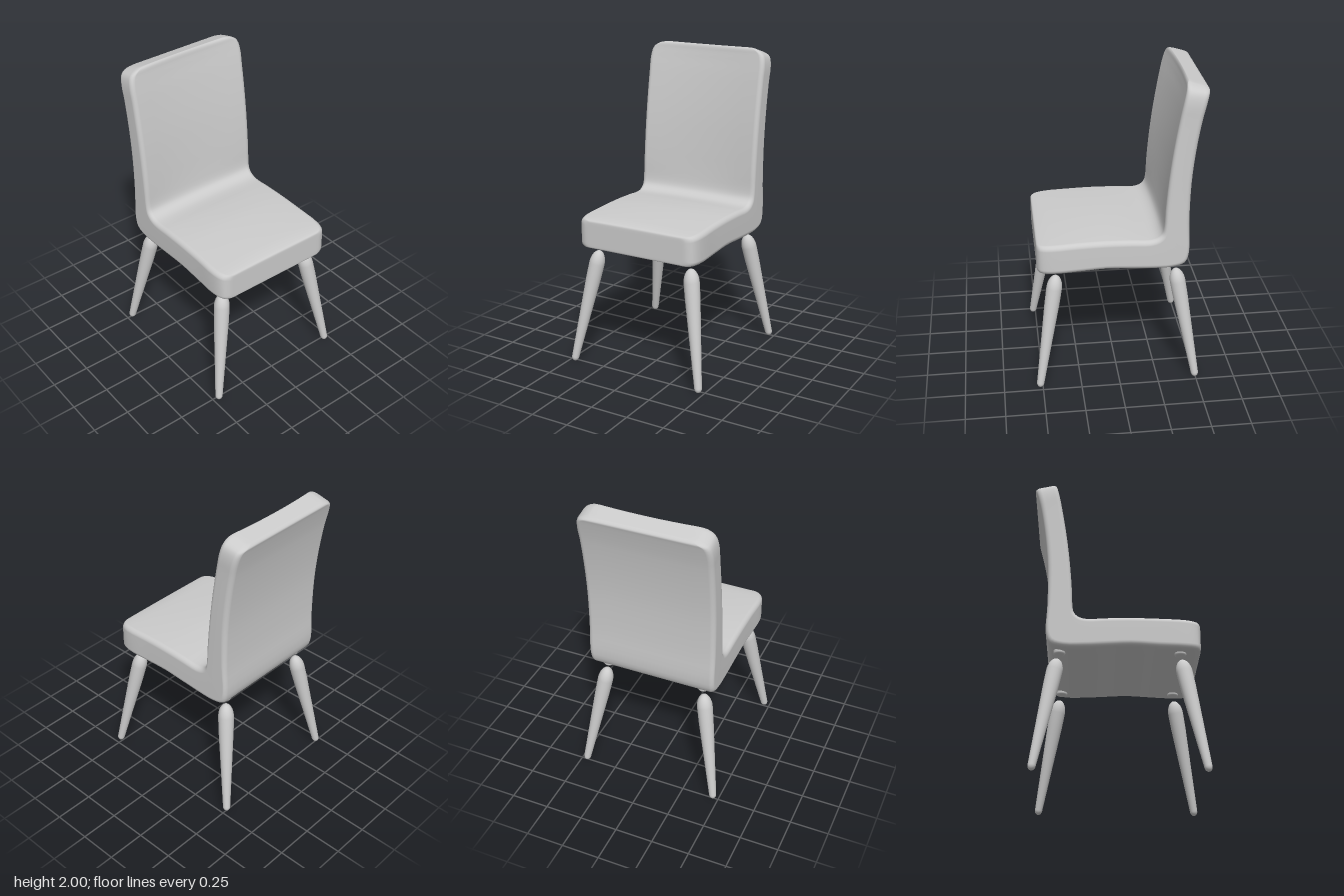
import * as THREE from 'three';

// Stations along the L-shaped cushion, front lip to top of backrest:
// inner z, inner y, outer z, outer y, half width, bow of the inner face
const STATIONS = [
  [0.51, 0.965, 0.51, 0.82, 0.335, 0],
  [0.507, 0.983, 0.507, 0.806, 0.37, 0.002],
  [0.485, 0.99, 0.487, 0.801, 0.405, 0.004],
  [0.42, 0.995, 0.42, 0.8, 0.425, 0.01],
  [0.25, 1.003, 0.25, 0.806, 0.425, 0.014],
  [0.08, 1.006, 0.08, 0.815, 0.425, 0.016],
  [-0.08, 1.002, -0.08, 0.807, 0.425, 0.012],
  [-0.19, 0.997, -0.22, 0.8, 0.425, 0.006],
  [-0.24, 1.01, -0.34, 0.802, 0.425, 0],
  [-0.27, 1.04, -0.418, 0.828, 0.425, -0.01],
  [-0.28, 1.09, -0.442, 0.9, 0.425, -0.02],
  [-0.284, 1.2, -0.437, 1.1, 0.425, -0.028],
  [-0.3, 1.4, -0.442, 1.36, 0.425, -0.03],
  [-0.325, 1.6, -0.462, 1.57, 0.425, -0.03],
  [-0.358, 1.8, -0.494, 1.77, 0.425, -0.03],
  [-0.378, 1.9, -0.517, 1.87, 0.425, -0.03],
  [-0.393, 1.96, -0.533, 1.93, 0.41, -0.026],
  [-0.403, 1.988, -0.539, 1.952, 0.375, -0.02],
  [-0.42, 2.0, -0.525, 1.968, 0.33, -0.01],
];

// Rounded rectangle, counter-clockwise, as [x, y] pairs
function roundedLoop(halfW, thick, r) {
  const pts = [], corners = 5, flat = 8;
  const cx = halfW - r, cy = thick / 2 - r;
  [[1, -1], [1, 1], [-1, 1], [-1, -1]].forEach(([sx, sy], q) => {
    for (let i = 0; i <= corners; i++) {
      const a = (q - 1 + i / corners) * Math.PI / 2;
      pts.push([sx * cx + r * Math.cos(a), sy * cy + r * Math.sin(a)]);
    }
    // extra points across the wide faces
    if (q % 2) for (let i = 1; i < flat; i++) {
      pts.push([sx * cx * (1 - 2 * i / flat), sy * (cy + r)]);
    }
  });
  return pts;
}

function cushionGeometry() {
  const curve = (f) => new THREE.CatmullRomCurve3(STATIONS.map(f), false, 'centripetal');
  const inner = curve((s) => new THREE.Vector3(s[4], s[1], s[0]));
  const outer = curve((s) => new THREE.Vector3(s[4], s[3], s[2]));
  const last = STATIONS.length - 1, steps = last * 3;
  const rings = [];

  for (let i = 0; i <= steps; i++) {
    const t = i / steps;
    const a = inner.getPoint(t), b = outer.getPoint(t);
    const k = Math.min(Math.floor(t * last), last - 1);
    const bow = THREE.MathUtils.lerp(STATIONS[k][5], STATIONS[k + 1][5], t * last - k);
    const thick = Math.hypot(a.y - b.y, a.z - b.z);
    const dy = (a.y - b.y) / thick, dz = (a.z - b.z) / thick;
    const my = (a.y + b.y) / 2, mz = (a.z + b.z) / 2;
    rings.push(roundedLoop(a.x, thick, 0.032).map(([x, h]) => {
      const u = x / a.x;
      const d = h + bow * (1 - u * u) * Math.max(0, h / (thick / 2));
      return new THREE.Vector3(x, my + dy * d, mz + dz * d);
    }));
  }

  // Close both ends with rings shrinking to the middle
  const shrink = (ring, s) => {
    const c = ring.reduce((sum, p) => sum.add(p), new THREE.Vector3()).divideScalar(ring.length);
    return ring.map((p) => p.clone().lerp(c, 1 - s));
  };
  const first = rings[0], end = rings[rings.length - 1];
  rings.unshift(shrink(first, 0), shrink(first, 0.85));
  rings.push(shrink(end, 0.85), shrink(end, 0));

  const n = first.length, index = [];
  for (let i = 0; i < rings.length - 1; i++) {
    for (let k = 0; k < n; k++) {
      const a = i * n + k, b = i * n + (k + 1) % n;
      index.push(a, a + n, b, b, a + n, b + n);
    }
  }
  const geo = new THREE.BufferGeometry().setFromPoints(rings.flat());
  geo.setIndex(index);
  geo.computeVertexNormals();
  return geo;
}

const lathe = (pts) => new THREE.LatheGeometry(pts.map(([r, y]) => new THREE.Vector2(r, y)), 24);

// Tapered leg with domed ends, along +y from 0 to the given length
function legGeometry(length) {
  const rTop = 0.05, rFoot = 0.024, pts = [];
  for (let i = 0; i <= 6; i++) {
    const a = i / 6 * Math.PI / 2;
    pts.push([rFoot * Math.sin(a), 0.03 * (1 - Math.cos(a))]);
  }
  pts.push([0.036, length * 0.4], [0.048, length * 0.75]);
  for (let i = 0; i <= 8; i++) {
    const a = i / 8 * Math.PI / 2;
    pts.push([rTop * Math.cos(a), length - 0.09 * (1 - Math.sin(a))]);
  }
  return lathe(pts);
}

export function createModel() {
  const model = new THREE.Group();
  model.name = 'chair';
  const material = new THREE.MeshStandardMaterial({ color: 0xcccccc });
  const add = (name, geo) => {
    const mesh = new THREE.Mesh(geo, material);
    mesh.name = name;
    model.add(mesh);
    return mesh;
  };

  add('seatAndBackrest', cushionGeometry());

  // Splayed legs and the small mounting pads under the seat
  const padGeo = lathe([[0, 0], [0.024, 0.001], [0.033, 0.005], [0.037, 0.013], [0.037, 0.045]]);
  const up = new THREE.Vector3(0, 1, 0);
  for (const [end, footZ, topZ, padZ] of [['front', 0.52, 0.39, 0.385], ['back', -0.5, -0.37, -0.358]]) {
    for (const [side, s] of [['Left', 1], ['Right', -1]]) {
      const foot = new THREE.Vector3(s * 0.465, 0.003, footZ);
      const axis = new THREE.Vector3(s * 0.335, 0.753, topZ).sub(foot);
      const leg = add(`${end}${side}Leg`, legGeometry(axis.length()));
      leg.position.copy(foot);
      leg.quaternion.setFromUnitVectors(up, axis.normalize());

      add(`${end}${side}Pad`, padGeo).position.set(s * 0.328, 0.783, padZ);
    }
  }
  return model;
}
